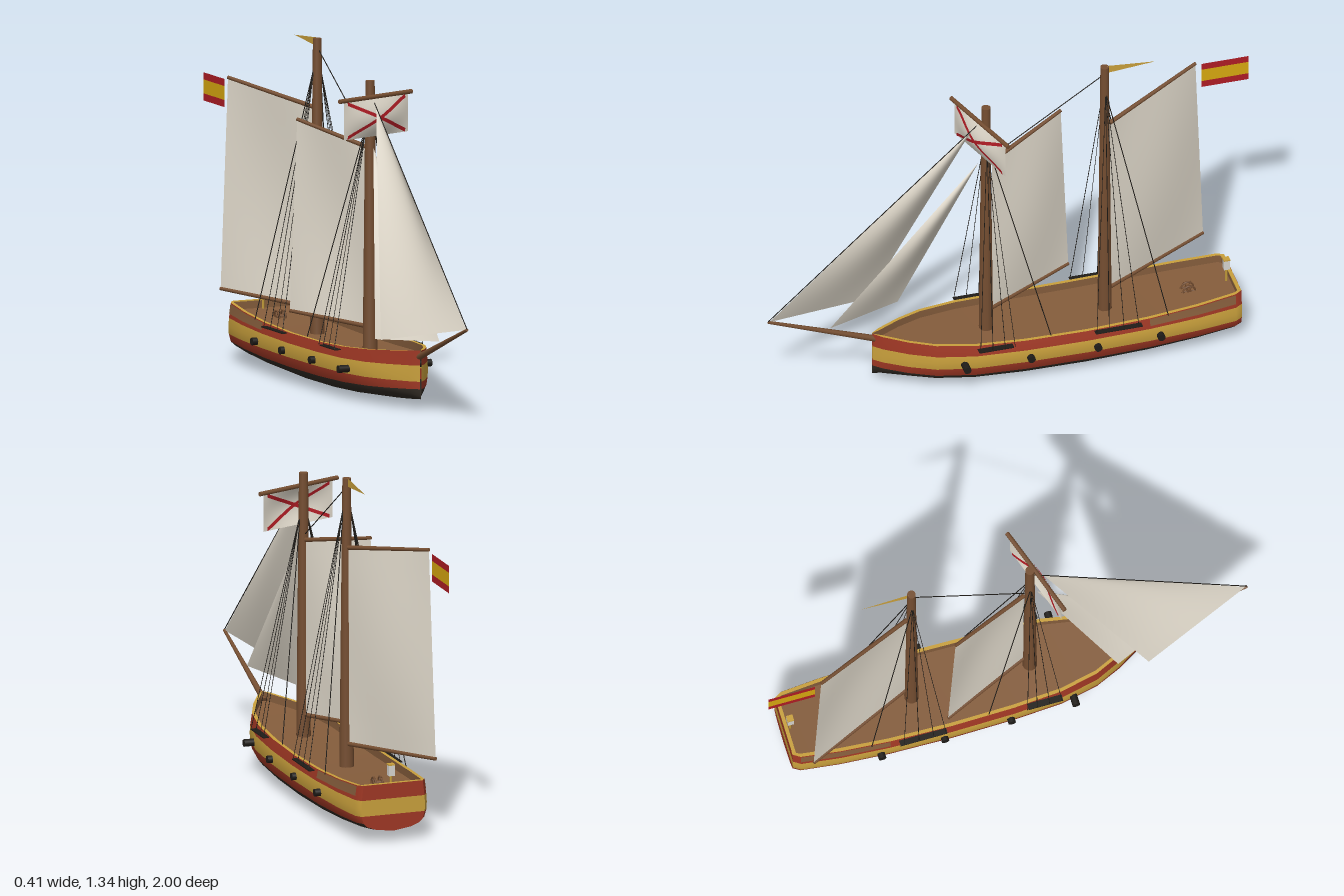
import * as THREE from 'three';

const mat = (name, color, side = THREE.FrontSide) => {
  const m = new THREE.MeshStandardMaterial({ color, side });
  m.name = name;
  return m;
};
const V = (p) => new THREE.Vector3(...p);

export function createModel() {
  const ship = new THREE.Group();
  ship.name = 'sailingShip';
  const D = THREE.DoubleSide;
  const red = mat('hullRed', 0x9f3724, D), gold = mat('hullYellow', 0xc9a03c, D);
  const black = mat('hullBlack', 0x302a23, D), deckWood = mat('deckWood', 0x855d3c, D);
  const wood = mat('sparWood', 0x754e31), canvas = mat('canvas', 0xe0d9cb, D);
  const crimson = mat('flagRed', 0xb01c24, D), flagGold = mat('flagYellow', 0xd8a810, D);
  const iron = mat('ropeAndIron', 0x1f1c18), white = mat('lanternWhite', 0xd8d6d0);

  const add = (name, geo, material) => {
    const m = new THREE.Mesh(geo, material);
    m.name = name;
    ship.add(m);
    return m;
  };
  const box = (name, size, pos, material) =>
    add(name, new THREE.BoxGeometry(...size), material).position.set(...pos);

  // Grid surface through fn(i, j); rowMaterial optionally gives a material index per row
  const surface = (ni, nj, fn, rowMaterial) => {
    const pos = [], idx = [], geo = new THREE.BufferGeometry();
    for (let i = 0; i <= ni; i++) for (let j = 0; j <= nj; j++) pos.push(...fn(i, j));
    for (let i = 0; i < ni; i++) {
      if (rowMaterial) geo.addGroup(idx.length, nj * 6, rowMaterial(i));
      for (let j = 0; j < nj; j++) {
        const a = i * (nj + 1) + j, b = a + nj + 1;
        idx.push(a, b, b + 1, a, b + 1, a + 1);
      }
    }
    geo.setAttribute('position', new THREE.Float32BufferAttribute(pos, 3));
    geo.setIndex(idx);
    geo.computeVertexNormals();
    return geo;
  };

  // Straight round bar between two points
  const bar = (name, a, b, r1, r2, material, sides = 10) => {
    const p = V(a), dir = V(b).sub(p);
    const m = add(name, new THREE.CylinderGeometry(r2, r1, dir.length(), sides), material);
    m.position.copy(p).addScaledVector(dir, 0.5);
    m.quaternion.setFromUnitVectors(new THREE.Vector3(0, 1, 0), dir.normalize());
  };

  // Hull stations from bow to stern: [z, half beam]
  const stations = [[0.575, 0.003], [0.54, 0.034], [0.45, 0.09], [0.35, 0.136], [0.2, 0.168],
    [0, 0.18], [-0.25, 0.184], [-0.5, 0.18], [-0.7, 0.168], [-0.855, 0.15], [-0.883, 0.132]];
  const last = stations.length - 1;
  const curve = (z) => ((z + 0.15) / 0.73) ** 2;
  const sheer = (z) => 0.202 + 0.035 * curve(z);
  // Section levels from rail to keel: [height, width factor]
  const section = (z) => {
    const q = curve(z), keel = 0.045 * q, line = 0.067 + 0.017 * q;
    const low = (t) => keel + t * (line - keel);
    return [[sheer(z), 0.93], [0.163 + 0.014 * q, 0.985], [0.14 + 0.003 * q, 1], [0.108 + 0.005 * q, 0.99],
      [line, 0.93], [low(0.62), 0.82], [low(0.28), 0.55], [keel, 0]];
  };
  const bandOf = [0, 1, 1, 0, 2, 2, 2];
  add('hull', surface(14, last, (i, j) => {
    const [z, w] = stations[j], k = i < 8 ? i : 14 - i, [y, f] = section(z)[k];
    return [(i < 8 ? 1 : -1) * w * f, y, z];
  }, (i) => bandOf[i < 7 ? i : 13 - i]), [red, gold, black]);
  add('transom', surface(7, 1, (i, j) => {
    const [z, w] = stations[last], [y, f] = section(z)[i];
    return [(j ? -1 : 1) * w * f, y, z];
  }, (i) => bandOf[i] === 1 ? 1 : 0), [red, gold]);

  // Deck, rail caps, inner bulwarks and the wooden upper planks of the quarter
  const inner = (w) => Math.max(w * 0.93 - 0.014, 0.001);
  add('deck', surface(1, last, (i, j) => {
    const [z, w] = stations[j];
    return [(i ? 1 : -1) * inner(w), sheer(z) - 0.032, z];
  }), deckWood);
  for (const s of [1, -1]) {
    add('railCap', surface(1, last, (i, j) => {
      const [z, w] = stations[j];
      return [s * (i ? inner(w) : w * 0.93), sheer(z), z];
    }), gold);
    add('innerBulwark', surface(1, last, (i, j) => {
      const [z, w] = stations[j];
      return [s * inner(w), sheer(z) - i * 0.032, z];
    }), deckWood);
    add('quarterPlank', surface(1, 2, (i, j) => {
      const [z, w] = stations[7 + j], [top, below] = section(z), t = i ? 0.72 : 0.06;
      return [s * (w * (top[1] + (below[1] - top[1]) * t) + 0.0015), top[0] + (below[0] - top[0]) * t, z];
    }), deckWood);
  }
  box('sternBulwark', [0.23, 0.03, 0.01], [0, 0.219, -0.876], deckWood);
  box('sternRail', [0.235, 0.004, 0.014], [0, 0.236, -0.875], gold);

  // Guns along both sides and the boards that spread the shrouds
  for (const s of [1, -1]) {
    for (const z of [0.245, -0.015, -0.285, -0.54])
      bar('gun', [s * 0.14, 0.13, z], [s * 0.2, 0.13, z], 0.015, 0.015, iron, 12);
    box('foreChannel', [0.026, 0.004, 0.14], [s * 0.177, 0.198, 0.125], iron);
    box('mainChannel', [0.026, 0.004, 0.19], [s * 0.181, 0.198, -0.37], iron);
  }

  // Masts, bowsprit and yards
  bar('foreMast', [0, 0.15, 0.115], [0, 1.235, 0.115], 0.029, 0.018, wood, 12);
  bar('mainMast', [0, 0.15, -0.365], [0, 1.335, -0.365], 0.029, 0.017, wood, 12);
  bar('bowsprit', [0, 0.205, 0.55], [0, 0.375, 0.995], 0.013, 0.006, wood);
  const yardZ = (x) => 0.146 - 0.342 * x;
  bar('squareYard', [-0.175, 1.175, yardZ(-0.175)], [0.195, 1.175, yardZ(0.195)], 0.009, 0.009, wood);

  // Sails: bilinear patch of corners a, b (foot) and d, c (head) with a belly
  const patch = (a, b, c, d, belly) => (u, v) => {
    const foot = V(a).lerp(V(b), u), head = V(d).lerp(V(c), u);
    return foot.lerp(head, v).addScaledVector(V(belly), Math.sin(Math.PI * u) * Math.sin(Math.PI * v));
  };
  const sail = (name, fn, n = 12) => add(name, surface(n, n, (i, j) => fn(i / n, j / n).toArray()), canvas);

  // Gaff sails with their booms and gaffs: luff foot, clew, peak, throat
  const gaffSails = {
    fore: [[0, 0.265, 0.09], [-0.165, 0.288, -0.265], [-0.15, 1.045, -0.23], [0, 0.97, 0.09]],
    main: [[0, 0.27, -0.39], [-0.2, 0.3, -0.82], [-0.185, 1.135, -0.785], [0, 1.06, -0.385]],
  };
  for (const [name, [foot, clew, peak, throat]] of Object.entries(gaffSails)) {
    sail(name + 'GaffSail', patch(foot, clew, peak, throat, [0.022, 0, -0.01]));
    bar(name + 'Boom', foot, clew, 0.009, 0.007, wood);
    bar(name + 'Gaff', throat, peak, 0.009, 0.007, wood);
  }

  // Headsails
  const outerHead = [0, 1.14, 0.17], innerHead = [0, 0.975, 0.145];
  sail('outerJib', patch([0, 0.375, 0.99], [-0.16, 0.285, 0.55], outerHead, outerHead, [0.035, 0, 0.01]));
  sail('innerJib', patch([0, 0.295, 0.745], [-0.13, 0.27, 0.435], innerHead, innerHead, [0.03, 0, 0.01]));

  // Square sail with a diagonal cross on both faces
  const xl = -0.152, xr = 0.176;
  const square = patch([xl, 1.02, yardZ(xl)], [xr, 1.02, yardZ(xr)], [xr, 1.17, yardZ(xr)],
    [xl, 1.17, yardZ(xl)], [0.008, 0, 0.024]);
  sail('squareSail', square, 20);
  for (const face of [1, -1]) for (const flip of [false, true])
    add('sailCross', surface(1, 20, (i, j) => {
      const u = 0.05 + 0.9 * j / 20, v = (flip ? 1 - u : u) + (i - 0.5) * 0.098;
      return square(u, v).addScaledVector(V([0.32, 0, 0.95]), face * 0.003).toArray();
    }), crimson);

  // Standing rigging: shrouds and a running backstay on each side, plus stays
  const rig = [['fore', 0.115, 1.07, [0.19, 0.14, 0.09, 0.05], -0.1],
    ['main', -0.365, 1.22, [-0.28, -0.33, -0.39, -0.45], -0.575]];
  for (const s of [1, -1]) for (const [name, z, top, feet, back] of rig) {
    for (const f of feet)
      bar(name + 'Shroud', [s * 0.014, top, z], [s * 0.19, 0.2, f], 0.0014, 0.0014, iron, 4);
    bar(name + 'Backstay', [s * 0.014, top, z], [s * 0.168, 0.21, back], 0.002, 0.002, iron, 5);
  }
  bar('foreStay', [0, 0.378, 0.995], [0, 1.175, 0.13], 0.002, 0.002, iron, 5);
  bar('mastStay', [0, 0.99, 0.1], [0, 1.3, -0.365], 0.002, 0.002, iron, 5);

  // Striped ensign and masthead pennant
  for (const [name, y0, y1, m] of [['flagTopStripe', 1.097, 1.125, crimson],
    ['flagMiddleStripe', 1.042, 1.097, flagGold], ['flagBottomStripe', 1.014, 1.042, crimson]])
    add(name, surface(1, 1, (i, j) => [-0.188, i ? y1 : y0, j ? -1 : -0.81]), m);
  add('pennant', surface(1, 1, (i, j) => [0, 1.32 + (j ? 0 : (i ? 1 : -1) * 0.017), j ? -0.57 : -0.375]), gold);

  // Double steering wheel on a drum
  const hub = [0.192, -0.703];
  bar('wheelDrum', [-0.018, ...hub], [0.018, ...hub], 0.01, 0.01, wood);
  for (const x of [-0.014, 0.014]) {
    const rim = add('wheelRim', new THREE.TorusGeometry(0.024, 0.004, 6, 16), wood);
    rim.position.set(x, ...hub);
    rim.rotation.y = Math.PI / 2;
    for (let k = 0; k < 3; k++) {
      const a = k * Math.PI / 3, c = 0.03 * Math.cos(a), d = 0.03 * Math.sin(a);
      bar('wheelSpoke', [x, hub[0] - d, hub[1] - c], [x, hub[0] + d, hub[1] + c], 0.002, 0.002, wood, 5);
    }
  }

  // Stern lantern
  bar('lanternPost', [0, 0.2, -0.857], [0, 0.265, -0.857], 0.005, 0.005, gold, 6);
  box('lantern', [0.024, 0.042, 0.024], [0, 0.283, -0.857], white);
  box('lanternCap', [0.026, 0.005, 0.026], [0, 0.3065, -0.857], gold);
  return ship;
}
